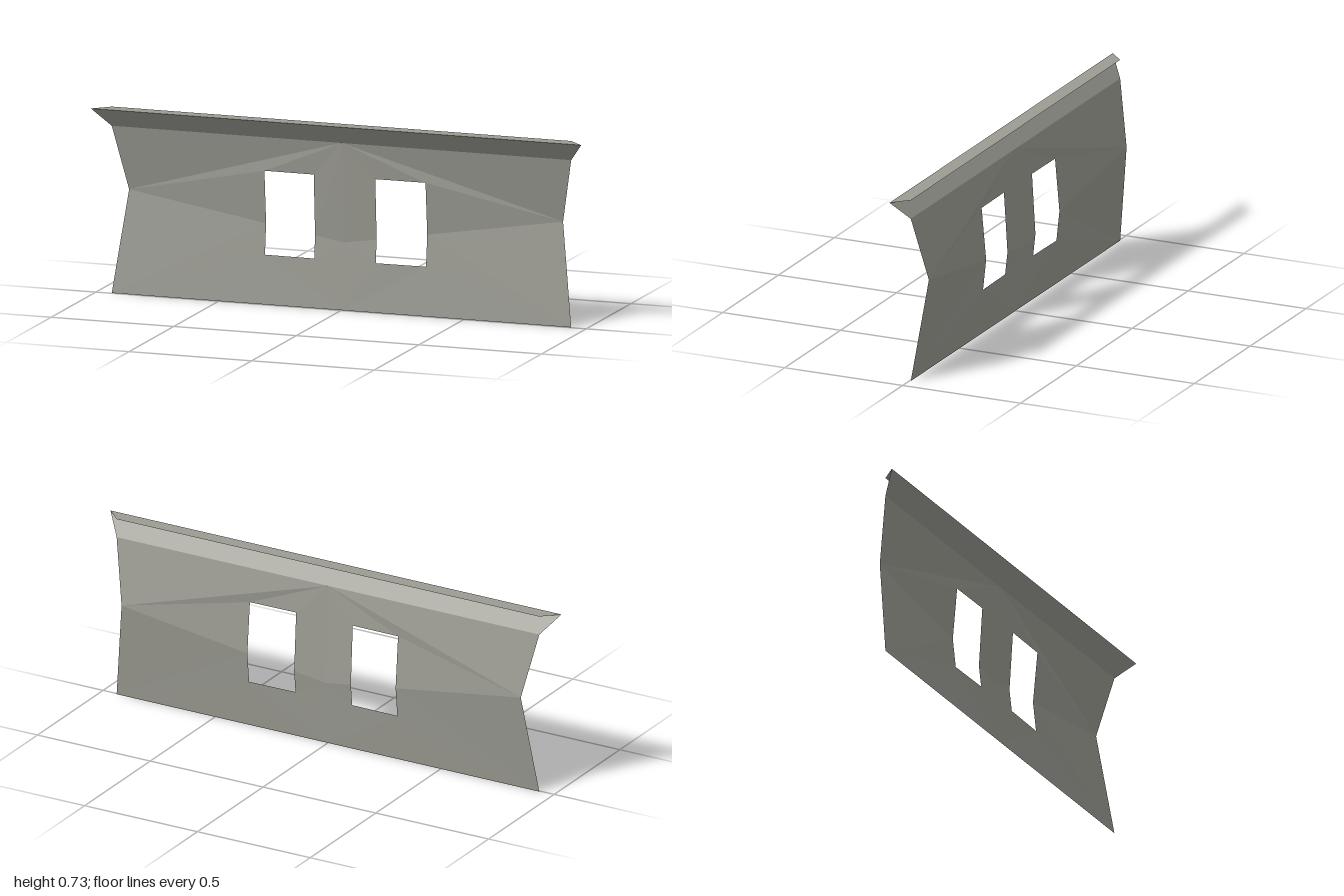
import * as THREE from 'three';

const stone = new THREE.MeshStandardMaterial({ color: 0x9c9c94, side: THREE.DoubleSide, flatShading: true });
stone.name = 'warm grey stone';

// Builds a faceted sheet from named points and triangles such as 'A B C'
function sheet(name, points, triangles, flip = false) {
  const positions = [];
  for (const triangle of triangles) {
    const corners = triangle.split(' ');
    if (flip) corners.reverse();
    for (const key of corners) positions.push(...points[key]);
  }
  const geometry = new THREE.BufferGeometry();
  geometry.setAttribute('position', new THREE.Float32BufferAttribute(positions, 3));
  geometry.computeVertexNormals();
  const mesh = new THREE.Mesh(geometry, stone);
  mesh.name = name;
  return mesh;
}

// One half of the inward-bent wall, with a window opening from inner to outer
function wallHalf(name, side, inner, outer) {
  const crease = (x) => [side * x, 0.26 + 0.158 * x, -0.03 - 0.0305 * x];
  const points = {
    topMid: [0, 0.655, -0.005],
    topEnd: [side * 0.937, 0.655, -0.005],
    waist: [side * 0.885, 0.4, -0.057],
    centre: [0, 0.26, -0.03],
    baseMid: [0, 0, -0.005],
    baseEnd: [side * 0.937, 0, -0.005],
    headIn: [side * inner, 0.52, -0.019],
    headOut: [side * outer, 0.52, -0.021],
    jambIn: crease(inner),
    jambOut: crease(outer),
    sillIn: [side * inner, 0.19, -0.024],
    sillOut: [side * outer, 0.19, -0.027],
  };
  return sheet(name, points, [
    // above the crease
    'topMid waist topEnd',
    'topMid headOut waist',
    'topMid headIn headOut',
    'topMid jambIn headIn',
    'topMid centre jambIn',
    'headOut jambOut waist',
    // below the crease
    'waist jambOut baseEnd',
    'jambOut sillOut baseEnd',
    'sillOut baseMid baseEnd',
    'sillIn baseMid sillOut',
    'centre sillIn jambIn',
    'centre baseMid sillIn',
  ], side < 0);
}

export function createModel() {
  const model = new THREE.Group();
  model.name = 'windowWall';

  model.add(wallHalf('leftWall', 1, 0.133, 0.337));
  model.add(wallHalf('rightWall', -1, 0.118, 0.32));

  // Flared cornice: sloping underside and flat top, open at the back and ends
  const points = {
    footR: [-0.937, 0.655, -0.005], footL: [0.937, 0.655, -0.005],
    lipR: [-1, 0.73, 0.056], lipL: [1, 0.73, 0.056],
    backR: [-0.937, 0.73, -0.005], backL: [0.937, 0.73, -0.005],
  };
  model.add(sheet('corniceSlope', points, ['footR footL lipL', 'footR lipL lipR']));
  model.add(sheet('corniceTop', points, ['lipR lipL backL', 'lipR backL backR']));

  return model;
}
